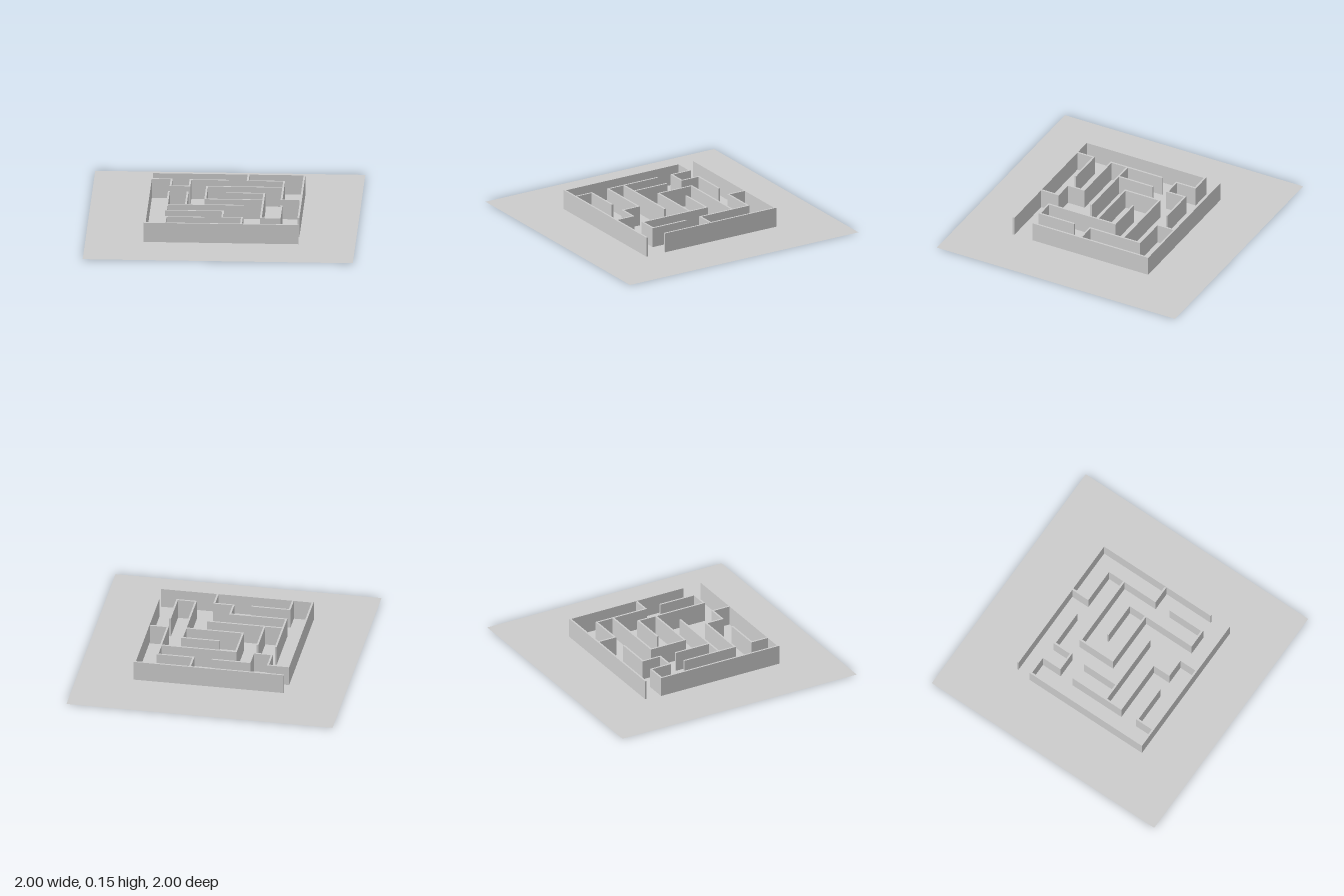
import * as THREE from 'three';

const HEIGHT = 0.15, THICK = 0.014;

// Wall centrelines as [x, z] corner points
const WALLS = {
  outerBackRightWall: [[-0.543, -0.54], [0.571, -0.54], [0.571, 0.418]],
  outerFrontLeftWall: [[0.571, 0.583], [-0.56, 0.583], [-0.56, -0.413], [-0.407, -0.413],
    [-0.407, -0.255], [-0.267, -0.255], [-0.267, -0.402], [0.012, -0.402]],
  backBranchWall: [[0.157, -0.54], [0.157, -0.396], [0.427, -0.396], [0.427, 0.022], [0.552, 0.022]],
  innerRoomWall: [[0.427, -0.257], [-0.137, -0.257], [-0.137, 0.03], [0.293, 0.03]],
  hookWall: [[0.017, -0.117], [0.293, -0.117], [0.293, 0.44], [0.433, 0.44], [0.433, 0.155]],
  steppedWall: [[-0.414, -0.129], [-0.414, 0.297], [0.008, 0.297], [0.008, 0.436],
    [0.153, 0.436], [0.153, 0.583]],
  crossWall: [[-0.414, 0.16], [0.149, 0.16]],
  stubWall: [[-0.275, -0.123], [-0.275, 0.16]],
  frontNookWall: [[-0.412, 0.583], [-0.412, 0.442], [-0.132, 0.442]],
};

export function createModel() {
  const model = new THREE.Group();
  const material = new THREE.MeshStandardMaterial({ color: 0xcccccc, side: THREE.DoubleSide });

  // Flat ground sheet
  const floor = new THREE.Mesh(new THREE.PlaneGeometry(2, 2).rotateX(-Math.PI / 2), material);
  floor.name = 'floor';
  model.add(floor);

  // One box per straight run, overlapping at corners
  for (const [name, points] of Object.entries(WALLS)) {
    const wall = new THREE.Group();
    wall.name = name;
    for (let i = 1; i < points.length; i++) {
      const [ax, az] = points[i - 1], [bx, bz] = points[i];
      const run = new THREE.Mesh(
        new THREE.BoxGeometry(Math.abs(bx - ax) + THICK, HEIGHT, Math.abs(bz - az) + THICK), material);
      run.position.set((ax + bx) / 2, HEIGHT / 2, (az + bz) / 2);
      run.name = 'wallRun';
      wall.add(run);
    }
    model.add(wall);
  }
  return model;
}
